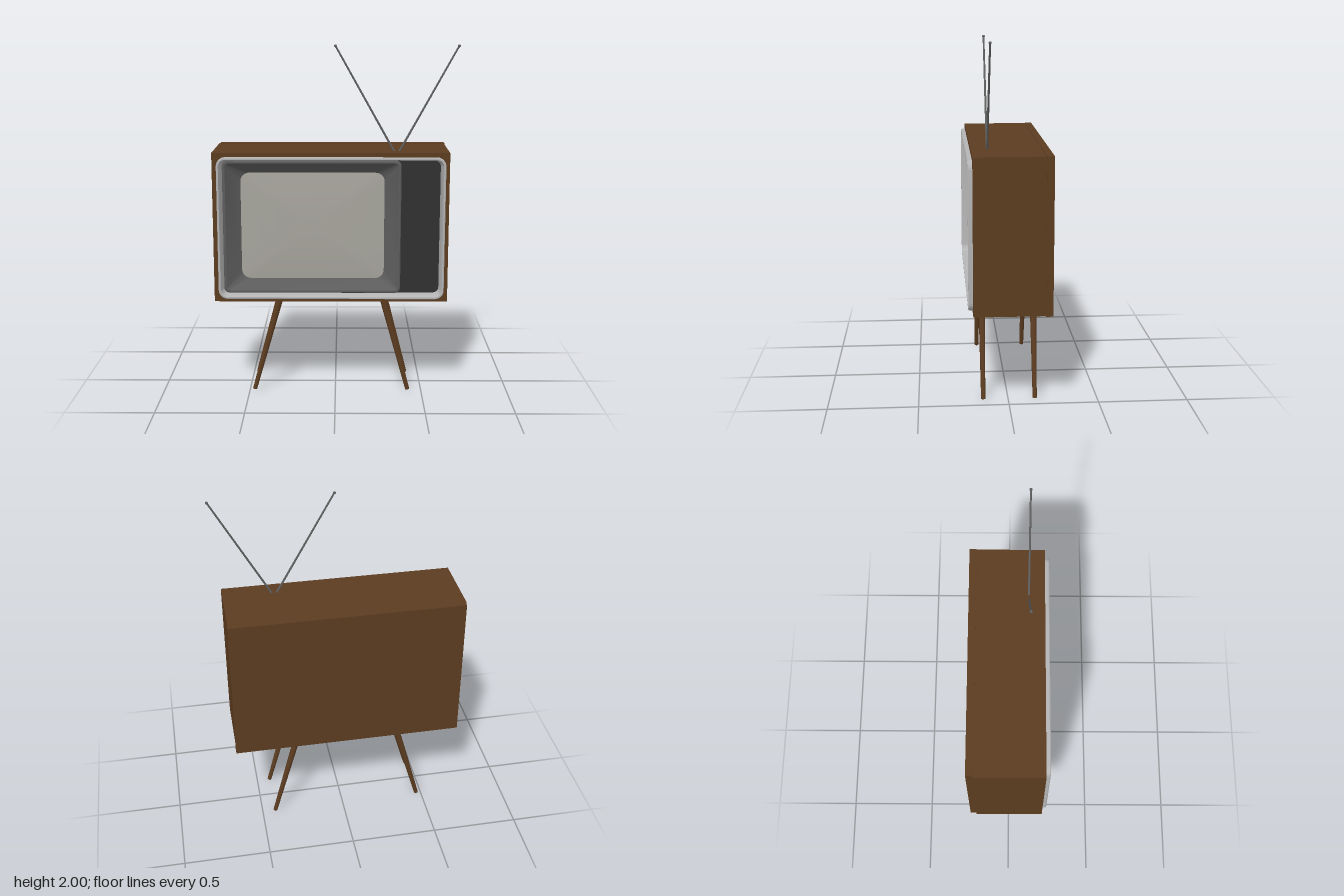
import * as THREE from 'three';
import { toCreasedNormals } from 'three/addons/utils/BufferGeometryUtils.js';

const mat = (color, side = THREE.FrontSide) => new THREE.MeshStandardMaterial({ color, side });
const wood = mat(0x5c3c20), metal = mat(0x606060), trim = mat(0xb4b4b4, THREE.DoubleSide);
const housing = mat(0x5c5c5c, THREE.DoubleSide), dark = mat(0x303030), glass = mat(0xa6a49c);

function add(group, name, geometry, material) {
  const mesh = new THREE.Mesh(geometry, material);
  mesh.name = name;
  group.add(mesh);
  return mesh;
}

// Box given by its limits
function block(x0, x1, y0, y1, z0, z1) {
  return new THREE.BoxGeometry(x1 - x0, y1 - y0, z1 - z0)
    .translate((x0 + x1) / 2, (y0 + y1) / 2, (z0 + z1) / 2);
}

// Rounded rectangle, counter-clockwise seen from the front
function ringPoints([x0, x1, y0, y1, r, z]) {
  const corners = [[x1 - r, y1 - r], [x0 + r, y1 - r], [x0 + r, y0 + r], [x1 - r, y0 + r]];
  const points = [], steps = 6;
  corners.forEach(([cx, cy], i) => {
    for (let k = 0; k <= steps; k++) {
      const a = (i + k / steps) * Math.PI / 2;
      points.push([cx + r * Math.cos(a), cy + r * Math.sin(a), z]);
    }
  });
  return points;
}

// Surface through rounded rectangles, listed from outside to inside
function loft(rings, crease = 0.5) {
  const pos = [], index = [], loops = rings.map(ringPoints), n = loops[0].length;
  loops.forEach(loop => loop.forEach(p => pos.push(...p)));
  for (let i = 0; i < rings.length - 1; i++) {
    for (let j = 0; j < n; j++) {
      const a = i * n + j, b = i * n + (j + 1) % n;
      index.push(a, b, b + n, a, b + n, a + n);
    }
  }
  const g = new THREE.BufferGeometry();
  g.setAttribute('position', new THREE.Float32BufferAttribute(pos, 3));
  g.setIndex(index);
  return toCreasedNormals(g, crease);
}

// Tapered rod between two points
function rod(from, to, rFrom, rTo, sides) {
  const a = new THREE.Vector3(...from), b = new THREE.Vector3(...to);
  const dir = b.clone().sub(a);
  const g = new THREE.CylinderGeometry(rTo, rFrom, dir.length(), sides);
  g.applyQuaternion(new THREE.Quaternion().setFromUnitVectors(new THREE.Vector3(0, 1, 0), dir.normalize()));
  return g.translate((a.x + b.x) / 2, (a.y + b.y) / 2, (a.z + b.z) / 2);
}

function rectPath(path, x0, x1, y0, y1) {
  path.moveTo(x0, y0).lineTo(x1, y0).lineTo(x1, y1).lineTo(x0, y1).closePath();
  return path;
}

export function createModel() {
  const tv = new THREE.Group();
  tv.name = 'television';

  // Wooden cabinet, open at the front, and its back cover
  const shell = rectPath(new THREE.Shape(), -0.688, 0.637, 0.555, 1.41);
  shell.holes.push(rectPath(new THREE.Path(), -0.648, 0.603, 0.588, 1.373));
  add(tv, 'cabinet', new THREE.ExtrudeGeometry(shell, { depth: 0.39, bevelEnabled: false })
    .translate(0, 0, -0.19), wood);
  add(tv, 'backCover', block(-0.68, 0.64, 0.552, 1.413, -0.225, -0.185), wood);

  // Pale frame around the whole front
  add(tv, 'frontFrame', loft([
    [-0.662, 0.615, 0.575, 1.387, 0.05, 0.195],
    [-0.662, 0.615, 0.575, 1.387, 0.05, 0.22],
    [-0.658, 0.611, 0.579, 1.383, 0.046, 0.225],
    [-0.65, 0.603, 0.587, 1.375, 0.04, 0.225],
    [-0.646, 0.599, 0.591, 1.371, 0.038, 0.215],
    [-0.633, 0.588, 0.602, 1.362, 0.03, 0.165],
    [-0.633, 0.588, 0.602, 1.362, 0.03, 0.11],
  ]), trim);

  // Control panel
  add(tv, 'controlPanel', block(0.35, 0.598, 0.59, 1.372, 0.11, 0.168), dark);

  // Screen housing: raised rim, small step and sloping funnel
  add(tv, 'screenHousing', loft([
    [-0.634, 0.37, 0.6, 1.363, 0.03, 0.11],
    [-0.634, 0.37, 0.6, 1.363, 0.03, 0.176],
    [-0.629, 0.365, 0.605, 1.358, 0.027, 0.182],
    [-0.618, 0.354, 0.615, 1.348, 0.022, 0.182],
    [-0.612, 0.348, 0.62, 1.343, 0.02, 0.173],
    [-0.537, 0.278, 0.672, 1.287, 0.05, 0.122],
    [-0.537, 0.278, 0.672, 1.287, 0.05, 0.11],
  ]), housing);

  // Slightly domed picture tube
  const screenRings = [];
  for (let i = 0; i <= 8; i++) {
    const s = 1 - i / 8 * 0.999;
    screenRings.push([-0.13 - 0.41 * s, -0.13 + 0.41 * s, 0.98 - 0.31 * s, 0.98 + 0.31 * s,
      0.052 * s, 0.119 + 0.014 * (1 - s * s)]);
  }
  add(tv, 'screen', loft(screenRings, 1), glass);

  // Splayed tapered legs
  for (const [side, xTop, xFoot] of [['right', -0.315, -0.472], ['left', 0.27, 0.422]]) {
    for (const [end, z] of [['Front', 0.14], ['Back', -0.15]]) {
      add(tv, side + end + 'Leg', rod([xFoot, 0.004, z], [xTop, 0.57, z], 0.012, 0.019, 16), wood);
    }
  }

  // Rabbit-ear aerial with ball tips
  for (const [side, xBase, xTip] of [['right', 0.34, 0.0], ['left', 0.35, 0.682]]) {
    add(tv, side + 'Antenna', rod([xBase, 1.39, 0.11], [xTip, 1.993, 0.11], 0.006, 0.005, 12), metal);
    add(tv, side + 'AntennaTip', new THREE.SphereGeometry(0.008, 12, 8).translate(xTip, 1.992, 0.11), metal);
  }
  return tv;
}
